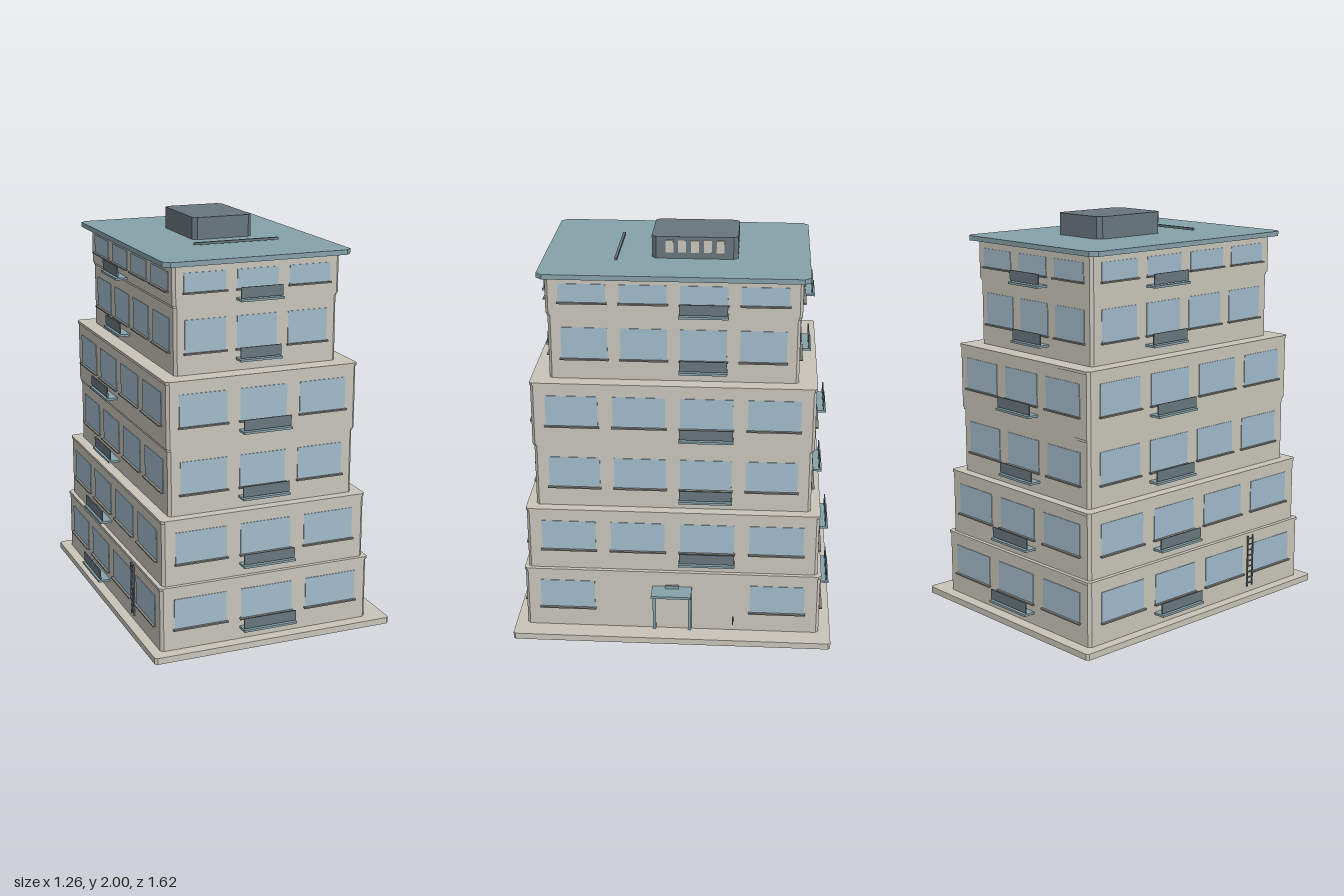
import * as THREE from 'three';

const mat = (name, color, side = THREE.FrontSide) => {
  const m = new THREE.MeshStandardMaterial({ color, side });
  m.name = name;
  return m;
};

export function createModel() {
  const wall = mat('stone wall', 0xc9c5ba);
  const glass = mat('window glass', 0xa2bbcb);
  const teal = mat('teal metal', 0x86a2ab);
  const dark = mat('dark metal', 0x68777d);
  const sillMat = mat('sill', 0x84847f);

  const model = new THREE.Group();
  model.name = 'steppedTower';
  const tower = new THREE.Group();
  tower.name = 'tower';
  tower.position.x = -0.027;
  model.add(tower);

  const box = (parent, name, material, w, h, d, x, y, z) => {
    const m = new THREE.Mesh(new THREE.BoxGeometry(w, h, d), material);
    m.name = name;
    m.position.set(x, y, z);
    parent.add(m);
    return m;
  };

  // Upright block with chamfered corners, from y0 to y1
  const block = (parent, name, material, hw, hd, y0, y1, c, x = 0, z = 0) => {
    const s = new THREE.Shape([
      [-hw + c, -hd], [hw - c, -hd], [hw, -hd + c], [hw, hd - c],
      [hw - c, hd], [-hw + c, hd], [-hw, hd - c], [-hw, -hd + c],
    ].map(([a, b]) => new THREE.Vector2(a, b)));
    const g = new THREE.ExtrudeGeometry(s, { depth: y1 - y0, bevelEnabled: false });
    g.rotateX(-Math.PI / 2);
    const m = new THREE.Mesh(g, material);
    m.name = name;
    m.position.set(x, y0, z);
    parent.add(m);
  };

  // Ground slab
  block(model, 'groundSlab', wall, 0.625, 0.805, 0, 0.032, 0.012);

  // Balcony: floor plate and front panel, local +z pointing outward
  const balcony = (parent, x, y, w, face) => {
    box(parent, 'balconyFloor', teal, w, 0.011, 0.062, x, y - 0.044, face + 0.031);
    box(parent, 'balconyPanel', dark, w - 0.006, 0.052, 0.006, x, y - 0.008, face + 0.05);
  };

  // Storeys: half width, half depth, bottom, top, window bottom and top
  const storeys = [
    { hw: 0.547, hd: 0.746, y0: 0.032, y1: 0.355, w0: 0.14, w1: 0.292 },
    { hw: 0.53, hd: 0.73, y0: 0.355, y1: 0.685, w0: 0.465, w1: 0.622 },
    { hw: 0.48, hd: 0.685, y0: 0.685, y1: 1.02, w0: 0.792, w1: 0.952 },
    { hw: 0.488, hd: 0.693, y0: 1.02, y1: 1.345, w0: 1.125, w1: 1.282 },
    { hw: 0.416, hd: 0.606, y0: 1.345, y1: 1.68, w0: 1.452, w1: 1.61 },
    { hw: 0.424, hd: 0.614, y0: 1.68, y1: 1.868, w0: 1.74, w1: 1.832 },
  ];

  storeys.forEach((f, i) => {
    block(tower, 'storey', wall, f.hw, f.hd, f.y0, f.y1, 0.014);
    if (i < 5) block(tower, 'storeyBand', wall, f.hw + 0.004, f.hd + 0.004, f.y1 - 0.012, f.y1 + 0.002, 0.014);

    // Four facades: front, door side, back, ladder side
    for (let s = 0; s < 4; s++) {
      const facade = new THREE.Group();
      facade.name = ['frontFacade', 'leftFacade', 'backFacade', 'rightFacade'][s];
      facade.rotation.y = s * Math.PI / 2;
      tower.add(facade);

      const long = s % 2 === 1;
      const n = long ? 4 : 3;
      const face = long ? f.hw : f.hd;
      const step = long ? f.hd * 0.475 : f.hw * 0.63;
      const w = long ? f.hd * 0.37 : f.hw * 0.492;
      const balconyAt = !long ? 1 : s === 1 ? 2 : 1;

      for (let k = 0; k < n; k++) {
        const doorGap = i === 0 && s === 1 && (k === 1 || k === 2);
        if (doorGap) continue;
        const x = (k - (n - 1) / 2) * step;
        box(facade, 'window', glass, w, f.w1 - f.w0, 0.006, x, (f.w0 + f.w1) / 2, face);
        box(facade, 'windowSill', sillMat, w + 0.012, 0.007, 0.018, x, f.w0 - 0.003, face + 0.007);
        if (k === balconyAt) balcony(facade, x, f.w0 - 0.003, w + 0.01, face);
      }
    }
  });

  // Roof slab, ridge bar and rooftop plant room
  block(tower, 'roofSlab', teal, 0.476, 0.648, 1.867, 1.891, 0.03);
  box(model, 'roofBar', dark, 0.44, 0.012, 0.013, 0, 1.903, 0.29);
  block(model, 'plantRoom', dark, 0.157, 0.21, 1.89, 2, 0.022, 0, -0.088);
  for (let k = 0; k < 5; k++) {
    box(model, 'plantRoomVent', wall, 0.008, 0.06, 0.038, 0.158, 1.952, 0.035 - k * 0.062);
  }

  // Entrance: posts, lintel, canopy and lamp
  const entrance = new THREE.Group();
  entrance.name = 'entrance';
  model.add(entrance);
  for (const side of [-1, 1]) {
    box(entrance, 'doorPost', teal, 0.022, 0.218, 0.016, 0.526, 0.141, side * 0.09);
  }
  box(entrance, 'lintel', wall, 0.022, 0.014, 0.196, 0.526, 0.252, 0);
  box(entrance, 'canopy', teal, 0.106, 0.013, 0.2, 0.572, 0.268, 0);
  box(entrance, 'canopyLamp', teal, 0.012, 0.018, 0.066, 0.54, 0.282, 0);

  // Small wall bracket beside the entrance
  box(model, 'bracketArm', dark, 0.055, 0.007, 0.006, 0.546, 0.097, -0.31);
  box(model, 'bracketPost', dark, 0.006, 0.045, 0.006, 0.569, 0.115, -0.31);

  // Wall ladder
  const ladder = new THREE.Group();
  ladder.name = 'ladder';
  model.add(ladder);
  for (const z of [0.345, 0.382]) {
    box(ladder, 'ladderRail', dark, 0.007, 0.275, 0.005, -0.584, 0.205, z);
  }
  for (let k = 0; k < 9; k++) {
    box(ladder, 'ladderRung', dark, 0.005, 0.005, 0.037, -0.584, 0.085 + k * 0.03, 0.3635);
  }
  return model;
}
